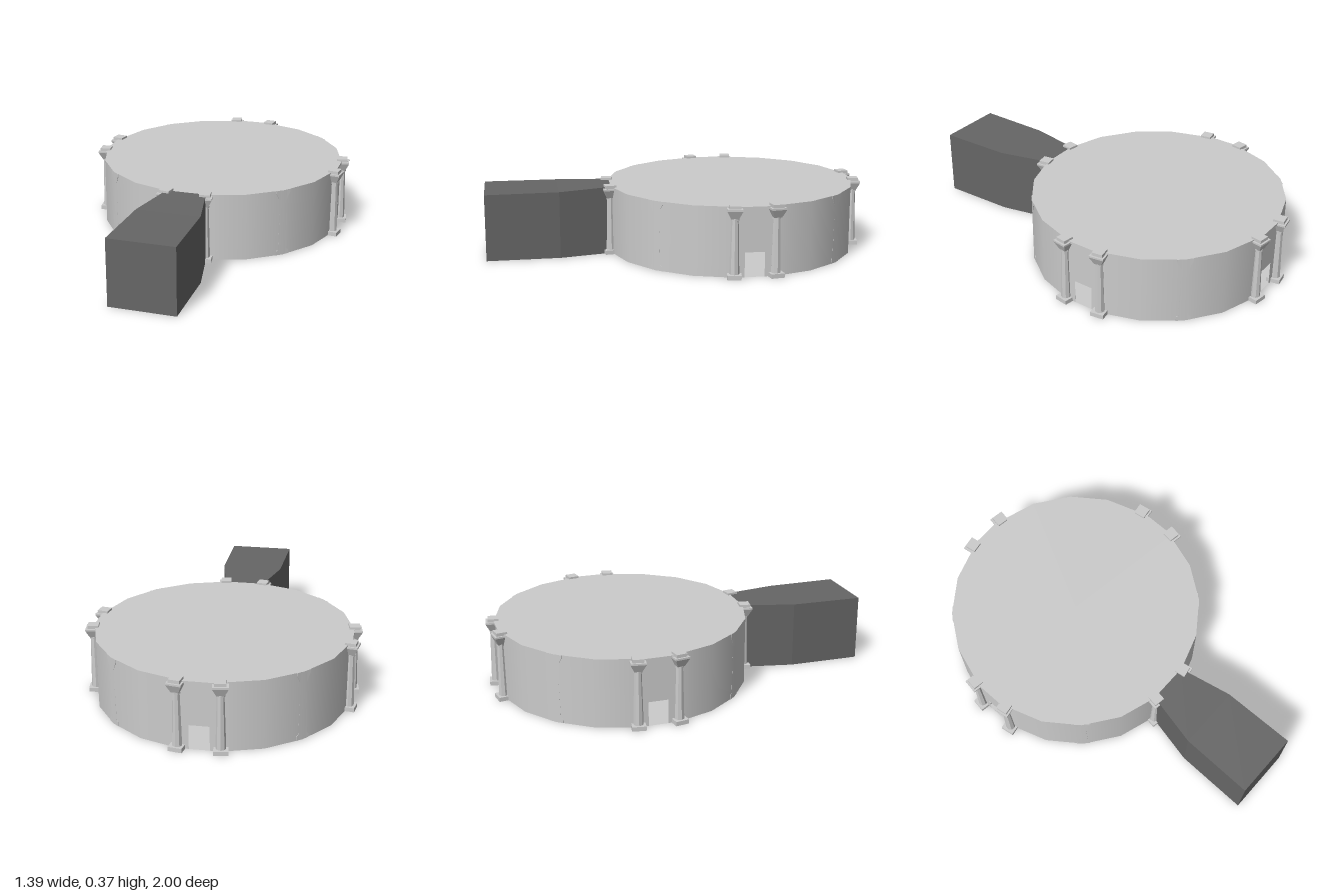
import * as THREE from 'three';

const grey = new THREE.MeshStandardMaterial({ color: 0xcccccc, side: THREE.DoubleSide });
const facet = new THREE.MeshStandardMaterial({ color: 0xcccccc, flatShading: true });
const dark = new THREE.MeshStandardMaterial({ color: 0x666666, flatShading: true, side: THREE.DoubleSide });

const R = 0.655, H = 0.355, STEP = Math.PI / 10;
const APOTHEM = R * Math.cos(STEP / 2), HALF = R * Math.sin(STEP / 2);

function add(parent, name, geometry, material, x = 0, y = 0, z = 0) {
  const mesh = new THREE.Mesh(geometry, material);
  mesh.name = name;
  mesh.position.set(x, y, z);
  parent.add(mesh);
  return mesh;
}

function polygon(points) {
  return new THREE.Shape(points.map(([x, y]) => new THREE.Vector2(x, y)));
}

// Square-based column with a tapered shaft, flared capital and top block
function column() {
  const g = new THREE.Group();
  g.name = 'column';
  add(g, 'columnBase', new THREE.BoxGeometry(0.07, 0.022, 0.07), facet, 0, 0.011);
  add(g, 'columnShaft', new THREE.CylinderGeometry(0.018, 0.025, 0.275, 8), facet, 0, 0.159);
  add(g, 'columnCollar', new THREE.CylinderGeometry(0.022, 0.022, 0.01, 8), facet, 0, 0.296);
  const flare = new THREE.CylinderGeometry(0.038 * Math.SQRT2, 0.019 * Math.SQRT2, 0.042, 4);
  add(g, 'columnCapital', flare.rotateY(Math.PI / 4), facet, 0, 0.32);
  add(g, 'columnCapitalRim', new THREE.BoxGeometry(0.076, 0.009, 0.076), facet, 0, 0.345);
  add(g, 'columnBlock', new THREE.BoxGeometry(0.056, 0.018, 0.056), facet, 0, 0.357);
  return g;
}

// Entrance hall: rectangular sections that widen away from the round building
function hallGeometry() {
  const sections = [[0.345, 0.105, 0.356], [0.62, 0.165, 0.349], [1, 0.172, 0.347]];
  const pos = [], index = [];
  for (const [z, w, h] of sections) pos.push(-w, 0, z, -w, h, z, w, h, z, w, 0, z);
  for (let s = 0; s < 2; s++) {
    for (let i = 0; i < 3; i++) {
      const a = s * 4 + i, b = a + 4;
      index.push(a, b, a + 1, a + 1, b, b + 1);
    }
  }
  index.push(8, 11, 10, 8, 10, 9);
  const geo = new THREE.BufferGeometry();
  geo.setAttribute('position', new THREE.Float32BufferAttribute(pos, 3));
  geo.setIndex(index);
  geo.computeVertexNormals();
  return geo;
}

export function createModel() {
  const model = new THREE.Group();
  model.name = 'roundHall';
  const drum = new THREE.Group();
  drum.name = 'drum';
  drum.position.z = -0.3;
  model.add(drum);

  // Twenty-sided roof and floor
  const disc = new THREE.CircleGeometry(R, 20, STEP / 2).rotateX(-Math.PI / 2);
  add(drum, 'roof', disc, grey, 0, H);
  add(drum, 'floor', disc, grey);

  const doorWall = new THREE.ShapeGeometry(polygon([
    [-HALF, 0], [-0.05, 0], [-0.05, 0.125], [0.05, 0.125],
    [0.05, 0], [HALF, 0], [HALF, H], [-HALF, H]]));
  const outline = [[0.036, 0], [0.036, 0.022], [0.025, 0.03], [0.018, 0.295], [0.04, 0.34], [0.04, H]];
  const pilaster = new THREE.ExtrudeGeometry(
    polygon([...outline, ...outline.map(([x, y]) => [-x, y]).reverse()]),
    { depth: 0.02, bevelEnabled: false });

  for (let k = 0; k < 4; k++) {
    const side = new THREE.Group();
    side.name = 'quarter';
    side.rotation.y = k * Math.PI / 2;
    drum.add(side);

    // Curved wall and flat wall with a doorway
    add(side, 'curvedWall',
      new THREE.CylinderGeometry(R, R, H, 4, 1, true, STEP / 2, 4 * STEP), grey, 0, H / 2);
    add(side, 'doorWall', doorWall, grey, 0, 0, APOTHEM);
    add(side, 'cornice', new THREE.BoxGeometry(0.19, 0.012, 0.02), facet, 0, H - 0.006, APOTHEM);

    // Pair of columns flanking the doorway
    for (const s of [-1, 1]) {
      const pivot = new THREE.Group();
      pivot.name = 'columnPivot';
      pivot.rotation.y = s * STEP / 2;
      const c = column();
      c.position.z = 0.662;
      pivot.add(c);
      side.add(pivot);
    }

    // Shallow pilaster in the middle of the curved wall
    const mid = new THREE.Group();
    mid.name = 'pilasterPivot';
    mid.rotation.y = Math.PI / 4;
    add(mid, 'pilaster', pilaster, facet, 0, 0, 0.632);
    side.add(mid);
  }

  // Entrance hall with floor panels and a run of low treads between them
  add(model, 'entranceHall', hallGeometry(), dark);
  const nearFloor = polygon([[-0.105, -0.345], [0.105, -0.345], [0.148, -0.55], [-0.148, -0.55]]);
  add(model, 'hallFloor', new THREE.ShapeGeometry(nearFloor).rotateX(-Math.PI / 2), dark, 0, 0.002);
  add(model, 'hallLanding', new THREE.BoxGeometry(0.336, 0.004, 0.2), dark, 0, 0.002, 0.898);
  for (let i = 0; i < 6; i++) {
    add(model, 'tread', new THREE.BoxGeometry(0.29, 0.008, 0.036), dark, 0, 0.006 + i * 0.004, 0.57 + i * 0.042);
  }
  return model;
}
